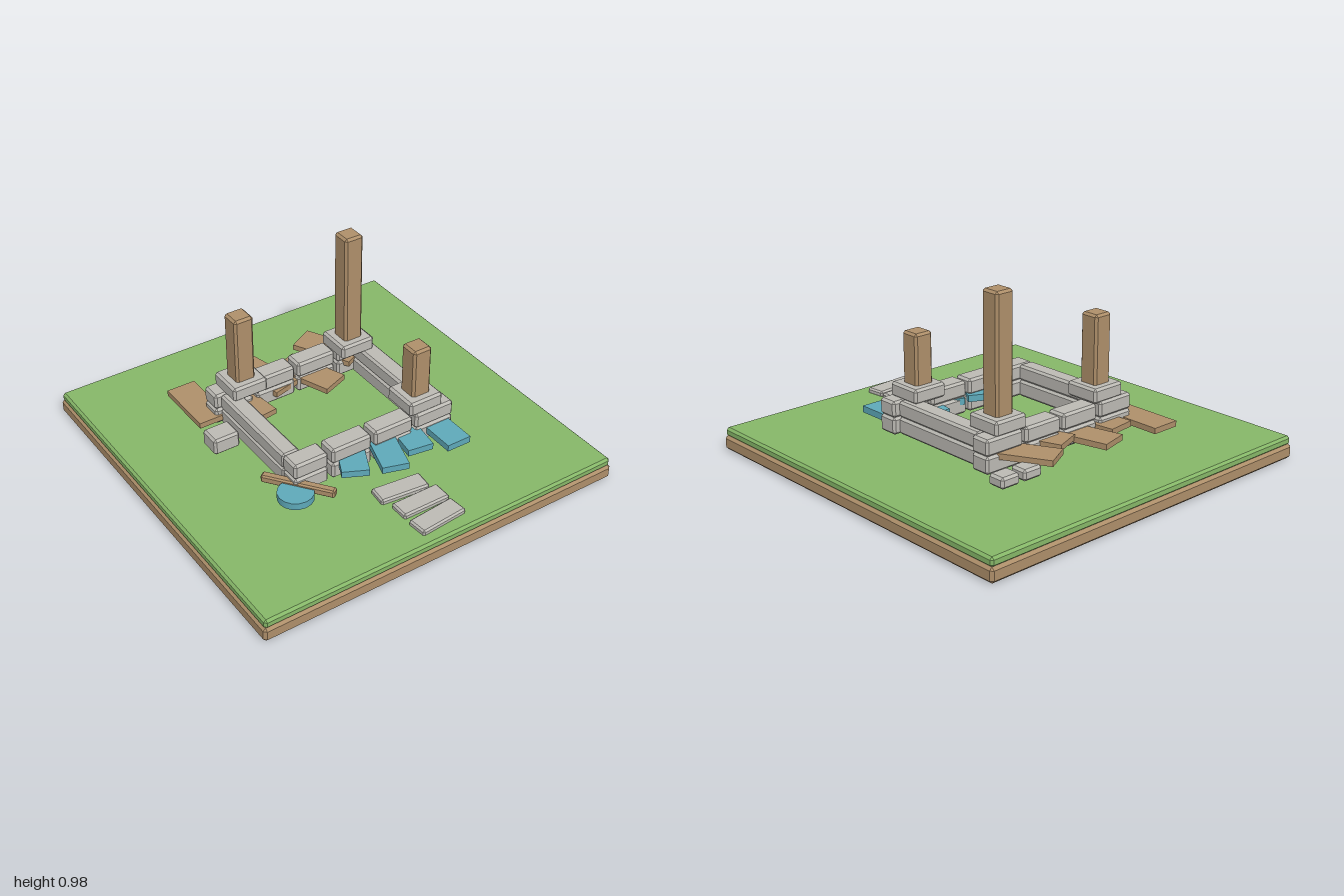
import * as THREE from 'three';
import { ConvexGeometry } from 'three/addons/geometries/ConvexGeometry.js';

const material = (name, color) => {
  const m = new THREE.MeshStandardMaterial({ color });
  m.name = name;
  return m;
};

// Box with flat chamfered edges, centred on its own origin
function chamferBox(w, h, d, c = 0.012) {
  const points = [];
  for (const x of [-1, 1]) for (const y of [-1, 1]) for (const z of [-1, 1]) {
    const p = new THREE.Vector3(x * w / 2, y * h / 2, z * d / 2);
    points.push(
      new THREE.Vector3(p.x, p.y - y * c, p.z - z * c),
      new THREE.Vector3(p.x - x * c, p.y, p.z - z * c),
      new THREE.Vector3(p.x - x * c, p.y - y * c, p.z));
  }
  return new ConvexGeometry(points);
}

export function createModel() {
  const model = new THREE.Group();
  model.name = 'ruinedHut';
  const grass = material('grass', 0x86b768);
  const earth = material('earth', 0xae8f6a);
  const wood = material('wood', 0xae8f6a);
  const stone = material('stone', 0xbcbab4);
  const blue = material('blueTile', 0x5ea9b9);

  const add = (name, geometry, mat, x, y, z, degrees = 0) => {
    const mesh = new THREE.Mesh(geometry, mat);
    mesh.name = name;
    mesh.position.set(x, y, z);
    mesh.rotation.y = THREE.MathUtils.degToRad(degrees);
    model.add(mesh);
    return mesh;
  };
  // Chamfered block given by its limits on each axis
  const block = (name, mat, [x0, x1], [y0, y1], [z0, z1], c) =>
    add(name, chamferBox(x1 - x0, y1 - y0, z1 - z0, c), mat,
      (x0 + x1) / 2, (y0 + y1) / 2, (z0 + z1) / 2);

  // Ground slab
  block('earthBase', earth, [-1, 1], [0, 0.075], [-1, 1], 0.014);
  block('grassTop', grass, [-0.993, 0.993], [0.07, 0.118], [-0.993, 0.993], 0.012);

  // Two courses of wall stones around a square
  for (const course of [[0.14, 0.228], [0.228, 0.312]]) {
    for (const side of [-1, 1]) {
      const z = side < 0 ? [-0.395, -0.285] : [0.283, 0.393];
      const leftEnd = side < 0 ? -0.48 : -0.45;
      for (const x of [[leftEnd, -0.26], [-0.238, -0.01], [0.008, 0.235], [0.252, 0.48]])
        block(side < 0 ? 'backWallStone' : 'frontWallStone', stone, x, course, z);
      block('sideWallStone', stone,
        side < 0 ? [-0.45, -0.355] : [0.348, 0.447], course, [-0.29, 0.29]);
    }
  }

  // Corner footings and broken posts
  for (const [x, z, top] of [[-0.325, -0.292, 0.738], [0.32, -0.292, 0.98], [0.32, 0.288, 0.645]]) {
    block('postFooting', stone, [x - 0.097, x + 0.097], [0.305, 0.382], [z - 0.097, z + 0.097]);
    block('post', wood, [x - 0.053, x + 0.053], [0.37, top], [z - 0.053, z + 0.053]);
  }

  // Fallen planks fanned out along the back
  for (let i = 0; i < 5; i++)
    add('fallenPlank', new THREE.BoxGeometry(0.155, 0.03, 0.333), wood,
      -0.502 + i * 0.199, 0.18 + i * 0.009, i % 2 ? -0.315 : -0.44, i * 7);

  // Fallen roof tiles fanned out along the front
  for (let i = 0; i < 4; i++)
    add('roofTile', new THREE.BoxGeometry(0.135, 0.035, 0.278), blue,
      -0.115 + i * 0.167, 0.216 - i * 0.007, i % 2 ? 0.428 : 0.37, -26 + i * 8.67);

  // Round lid with a beam lying across it
  add('roundLid', new THREE.CylinderGeometry(0.09, 0.09, 0.037, 16), blue, -0.465, 0.175, 0.42);
  add('fallenBeam', chamferBox(0.044, 0.042, 0.37, 0.008), wood, -0.423, 0.187, 0.38, 37);

  // Loose rubble
  block('rubble', stone, [-0.613, -0.47], [0.14, 0.23], [-0.19, -0.07]);
  block('rubble', stone, [0.305, 0.417], [0.148, 0.205], [-0.577, -0.48]);
  block('rubble', stone, [0.44, 0.552], [0.148, 0.205], [-0.577, -0.48]);

  // Stepping stones
  for (const [x, z, turn] of [[-0.002, 0.617, -6], [0.022, 0.744, 0], [0.022, 0.873, 5]])
    add('steppingStone', chamferBox(0.263, 0.034, 0.108, 0.009), stone, x, 0.128, z, turn);

  return model;
}
